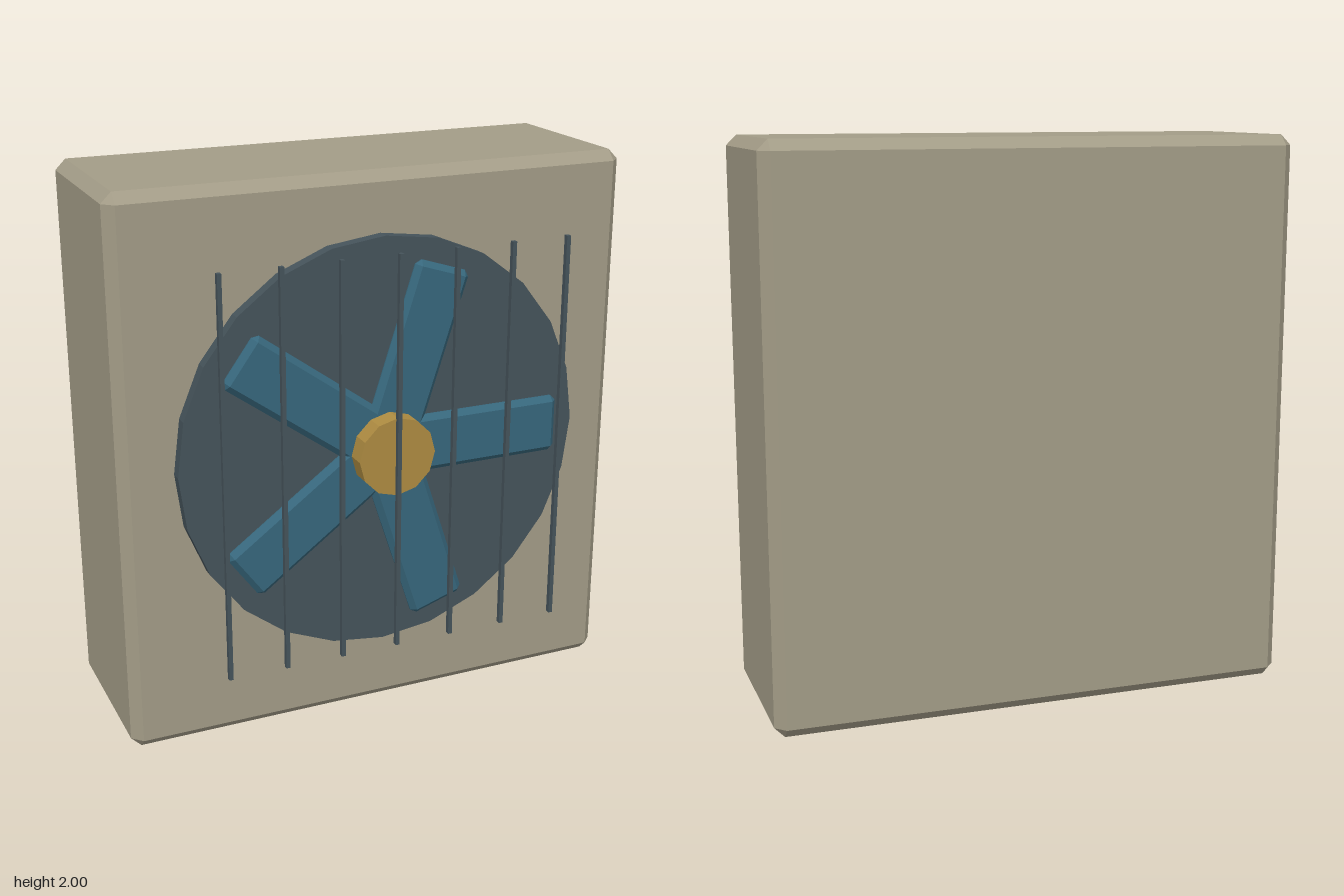
import * as THREE from 'three';
import { ConvexGeometry } from 'three/addons/geometries/ConvexGeometry.js';

const paint = (color) => new THREE.MeshStandardMaterial({ color, flatShading: true });

// Box with every edge cut by a single flat chamfer
function chamferBox(w, h, d, c) {
  const x = w / 2, y = h / 2, z = d / 2;
  const points = [];
  for (const sx of [-1, 1]) for (const sy of [-1, 1]) for (const sz of [-1, 1]) {
    points.push(
      new THREE.Vector3(sx * x, sy * (y - c), sz * (z - c)),
      new THREE.Vector3(sx * (x - c), sy * y, sz * (z - c)),
      new THREE.Vector3(sx * (x - c), sy * (y - c), sz * z)
    );
  }
  return new ConvexGeometry(points);
}

// Faceted disc facing +z
function discGeometry(radius, z0, z1, sides) {
  return new THREE.CylinderGeometry(radius, radius, z1 - z0, sides)
    .rotateX(Math.PI / 2)
    .translate(0, 0, (z0 + z1) / 2);
}

export function createModel() {
  const model = new THREE.Group();
  const add = (parent, name, geometry, material) => {
    const mesh = new THREE.Mesh(geometry, material);
    mesh.name = name;
    parent.add(mesh);
    return mesh;
  };

  const cabinetPaint = paint(0xa39c87);
  const darkPaint = paint(0x45535a);
  const bladePaint = paint(0x37677c);
  const hubPaint = paint(0xad8b41);

  // Cabinet
  add(model, 'cabinet', chamferBox(1.89, 2, 0.665, 0.037), cabinetPaint)
    .position.set(0, 1, -0.0875);

  // Fan: backing disc, five blades, hub
  const fan = new THREE.Group();
  fan.name = 'fan';
  fan.position.y = 1.035;
  model.add(fan);
  add(fan, 'fanDisc', discGeometry(0.755, 0.2, 0.29, 24), darkPaint);

  const bladeGeometry = chamferBox(0.62, 0.212, 0.045, 0.02).translate(0.362, 0, 0.31);
  for (let i = 0; i < 5; i++) {
    add(fan, 'blade', bladeGeometry, bladePaint).rotation.z = (i * Math.PI * 2) / 5;
  }
  add(fan, 'hub', discGeometry(0.143, 0.27, 0.403, 12), hubPaint);

  // Guard of thin upright bars
  const guard = new THREE.Group();
  guard.name = 'guard';
  model.add(guard);
  const barGeometry = new THREE.BoxGeometry(0.015, 1.445, 0.018);
  for (let i = -3; i <= 3; i++) {
    add(guard, 'guardBar', barGeometry, darkPaint).position.set(i * 0.211, 1.035, 0.411);
  }

  return model;
}
